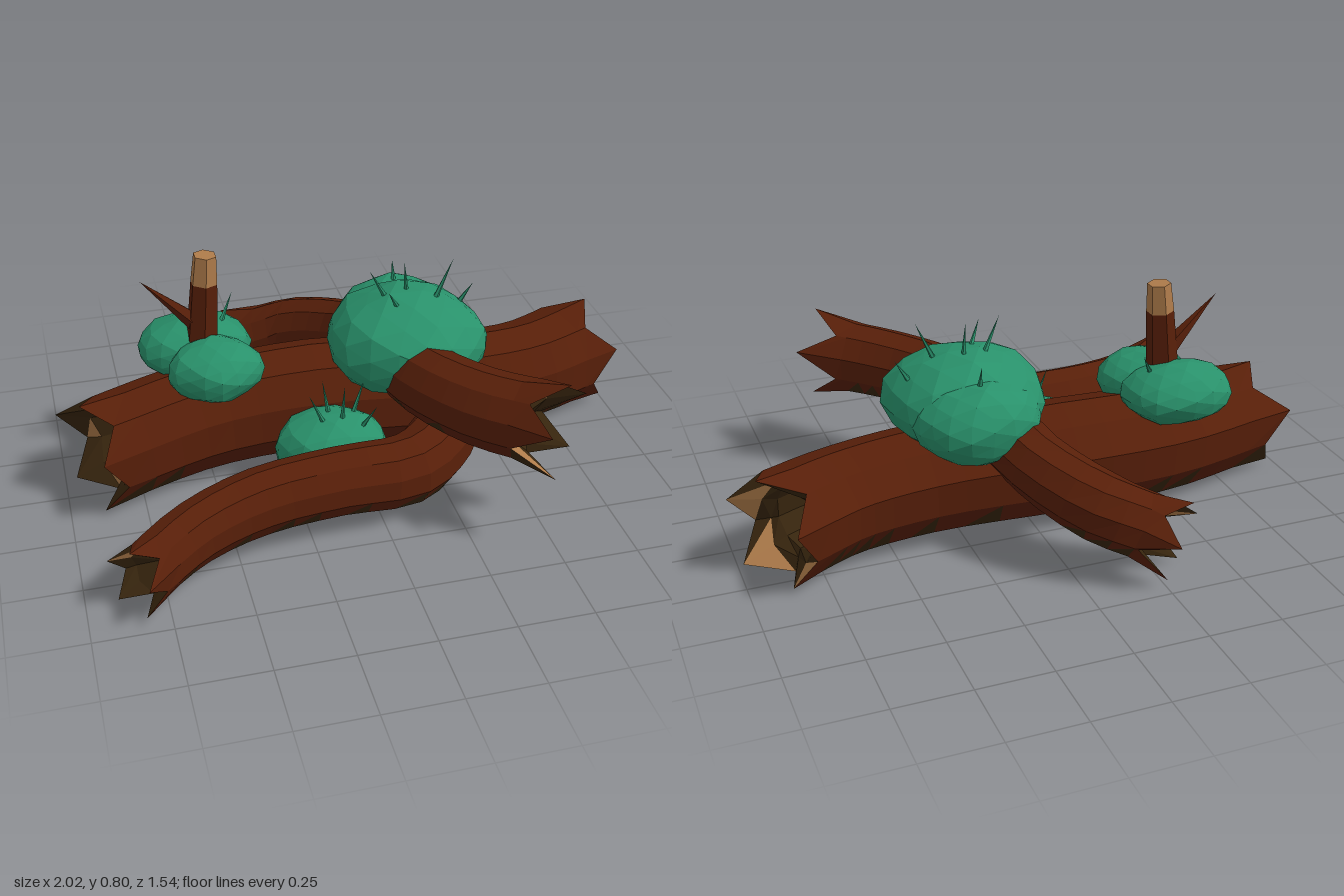
import * as THREE from 'three';

const mat = (name, color) => {
  const m = new THREE.MeshStandardMaterial({ color, flatShading: true });
  m.name = name;
  return m;
};
const V = (a) => new THREE.Vector3(...a);

// small seeded generator
function seeded(seed) {
  let s = seed;
  return () => ((s = (s * 16807) % 2147483647) / 2147483647);
}

export function createModel() {
  const bark = mat('bark', 0x581f09);
  const darkWood = mat('darkWood', 0x37250e);
  const paleWood = mat('paleWood', 0xae7b4a);
  const moss = mat('moss', 0x29916b);
  const model = new THREE.Group();
  const add = (geometry, material, name) => {
    const mesh = new THREE.Mesh(geometry, material);
    mesh.name = name;
    model.add(mesh);
    return mesh;
  };

  // A log swept along a curve, with splintered ends; points are [x, y, z, radius].
  // The rows run from the inside of one end, over the bark, into the other end.
  function log(name, points, { sides = 10, steps = 18, jag, flare, pale, hollow = false, seed }) {
    const rand = seeded(seed);
    const curve = new THREE.CatmullRomCurve3(points.map((p) => V(p.slice(0, 3))));
    const radiusAt = (t) => {
      const f = t * (points.length - 1), i = Math.min(Math.floor(f), points.length - 2);
      return THREE.MathUtils.lerp(points[i][3], points[i + 1][3], f - i);
    };
    const ridge = Array.from({ length: sides }, () => 0.96 + 0.1 * rand());
    const ring = (i, scale, shift) => {
      const t = i / steps, c = curve.getPoint(t), dir = curve.getTangent(t);
      const side = dir.clone().cross(new THREE.Vector3(0, 1, 0)).normalize();
      const up = side.clone().cross(dir);
      return ridge.map((k, j) => {
        const a = ((j + 0.5) / sides) * Math.PI * 2, r = radiusAt(t) * k * scale(j);
        return c.clone().addScaledVector(side, Math.cos(a) * r)
          .addScaledVector(up, Math.sin(a) * r).addScaledVector(dir, shift(j));
      });
    };
    const endRings = (i, sign) => {
      const tooth = ridge.map((_, j) => (j % 2 ? -0.4 + 0.4 * rand() : 0.4 + 0.5 * rand()) * jag * sign);
      return {
        outer: ring(i, (j) => (j % 2 ? 1 : flare), (j) => tooth[j]),
        inner: ring(i, () => 0.74, (j) => tooth[j] * 0.3 - sign * jag * 0.35),
      };
    };
    const first = endRings(0, -1), last = endRings(steps, 1);
    const rows = [], kinds = [];
    const push = (row, kind) => { rows.push(row); kinds.push(kind); };
    const core = (i) => ring(i, () => (hollow ? 0.6 : 0), () => 0);
    if (!hollow) push(core(1), 'inside');
    push(first.inner, 'rim');
    push(first.outer, 'bark');
    for (let i = 1; i < steps; i++) push(ring(i, () => 1, () => 0), 'bark');
    push(last.outer, 'rim');
    push(last.inner, 'inside');
    if (hollow) {
      for (let i = steps - 1; i > 0; i--) push(core(i), 'inside');
      push(first.inner);
    } else push(core(steps - 1));

    // Dark underside with a ragged fringe, dark hollows and pale splinters
    const faces = [[], [], []];
    const downAt = (j) => -Math.sin((j / sides) * Math.PI * 2);
    for (let i = 0; i < rows.length - 1; i++) {
      for (let j = 0; j < sides; j++) {
        const n = (j + 1) % sides, down = downAt(j + 1);
        let [g1, g2] = [1, 1];
        if (kinds[i] === 'bark' && down < 0.8) {
          const fringe = down > 0.5 && rand() < 0.5;
          const lowerFirst = downAt(j + 0.5) > downAt(j + 1.5);
          g1 = fringe && lowerFirst ? 1 : 0;
          g2 = fringe && !lowerFirst ? 1 : 0;
        }
        if (kinds[i] === 'rim') {
          g1 = rand() < pale ? 2 : 1;
          g2 = rand() < pale ? 2 : 1;
        }
        const [a, b, c, d] = [rows[i][j], rows[i + 1][j], rows[i + 1][n], rows[i][n]];
        faces[g1].push(a, b, c);
        faces[g2].push(a, c, d);
      }
    }
    const geometry = new THREE.BufferGeometry().setFromPoints(faces.flat());
    let start = 0;
    faces.forEach((list, g) => {
      geometry.addGroup(start, list.length, g);
      start += list.length;
    });
    geometry.computeVertexNormals();
    add(geometry, [bark, darkWood, paleWood], name);
  }

  log('mainLog', [
    [-0.87, 0.2, 0.01, 0.185], [-0.5, 0.22, -0.1, 0.19], [-0.1, 0.23, -0.12, 0.195],
    [0.35, 0.215, -0.09, 0.185], [0.65, 0.205, -0.125, 0.18], [0.87, 0.2, -0.215, 0.185],
  ], { hollow: true, jag: 0.12, flare: 1.05, pale: 0.3, seed: 11 });

  log('archedBranch', [
    [-0.25, 0.18, -0.63, 0.115], [-0.09, 0.25, -0.54, 0.12], [0.05, 0.33, -0.34, 0.115], [0.13, 0.42, -0.05, 0.12],
    [0.19, 0.425, 0.2, 0.12], [0.32, 0.42, 0.4, 0.128], [0.47, 0.425, 0.545, 0.132],
  ], { jag: 0.14, flare: 1.22, pale: 0.15, seed: 23 });

  log('frontBranch', [
    [-0.82, 0.15, 0.64, 0.092], [-0.64, 0.17, 0.5, 0.098], [-0.42, 0.185, 0.41, 0.105], [-0.15, 0.192, 0.375, 0.108],
    [0.1, 0.175, 0.34, 0.114], [0.26, 0.17, 0.19, 0.114], [0.38, 0.18, 0.0, 0.1],
  ], { jag: 0.09, flare: 1.15, pale: 0.12, seed: 41 });

  // Lumpy moss cushions
  function cushion(name, center, size, phase) {
    const geometry = new THREE.IcosahedronGeometry(1, 2);
    const p = geometry.attributes.position, v = new THREE.Vector3();
    for (let i = 0; i < p.count; i++) {
      v.fromBufferAttribute(p, i);
      const lump = 0.98 + 0.04 * Math.sin(4 * v.x + phase) * Math.cos(5 * v.z + phase) + 0.02 * Math.sin(9 * v.y + 7 * v.x);
      p.setXYZ(i, v.x * lump * size[0], v.y * lump * size[1], v.z * lump * size[2]);
    }
    geometry.computeVertexNormals();
    add(geometry, moss, name).position.set(...center);
  }
  cushion('largeMossFront', [0.19, 0.46, -0.03], [0.28, 0.175, 0.28], 1);
  cushion('largeMossBack', [0.2, 0.45, -0.21], [0.22, 0.14, 0.16], 5);
  cushion('stumpMossFront', [-0.47, 0.43, -0.03], [0.165, 0.105, 0.14], 2);
  cushion('stumpMossBack', [-0.515, 0.44, -0.205], [0.2, 0.105, 0.155], 4);
  cushion('lowMoss', [-0.12, 0.19, 0.16], [0.195, 0.125, 0.16], 3);

  // Thin pointed cones from base to tip
  function thorn(name, base, tip, radius, material) {
    const from = V(base), dir = V(tip).sub(from), length = dir.length();
    const geometry = new THREE.ConeGeometry(radius, length, 5).translate(0, length / 2, 0);
    const mesh = add(geometry, material, name);
    mesh.position.copy(from);
    mesh.quaternion.setFromUnitVectors(new THREE.Vector3(0, 1, 0), dir.normalize());
  }
  [
    [[0.13, 0.6, -0.05], [0.06, 0.73, -0.02]],
    [[0.2, 0.57, -0.22], [0.2, 0.65, -0.24]],
    [[0.2, 0.6, -0.06], [0.19, 0.73, -0.055]],
    [[0.28, 0.59, -0.01], [0.35, 0.74, -0.02]],
    [[0.15, 0.6, 0.02], [0.1, 0.69, 0.07]],
    [[0.38, 0.55, -0.05], [0.43, 0.63, -0.04]],
    [[-0.43, 0.5, -0.18], [-0.37, 0.6, -0.24]],
    [[-0.14, 0.27, 0.18], [-0.2, 0.41, 0.19]],
    [[-0.12, 0.27, 0.14], [-0.14, 0.42, 0.12]],
    [[-0.09, 0.27, 0.18], [-0.08, 0.43, 0.19]],
    [[-0.05, 0.26, 0.14], [0.01, 0.42, 0.12]],
    [[-0.04, 0.25, 0.2], [0.02, 0.36, 0.23]],
  ].forEach(([base, tip], i) => thorn(`mossThorn${i + 1}`, base, tip, 0.011, moss));

  // Broken upright twig with a stripped top
  const twig = new THREE.Group();
  twig.name = 'uprightTwig';
  const part = (name, bottom, top, y0, y1, material) => {
    const mesh = new THREE.Mesh(new THREE.CylinderGeometry(top, bottom, y1 - y0, 6), material);
    mesh.position.y = (y0 + y1) / 2;
    mesh.name = name;
    twig.add(mesh);
  };
  part('twigBark', 0.06, 0.047, 0, 0.32, bark);
  part('twigTop', 0.047, 0.04, 0.32, 0.42, paleWood);
  twig.position.set(-0.505, 0.39, -0.125);
  twig.rotation.z = -0.08;
  model.add(twig);
  thorn('sideTwig', [-0.5, 0.55, -0.125], [-0.69, 0.74, -0.12], 0.035, bark);

  return model;
}
